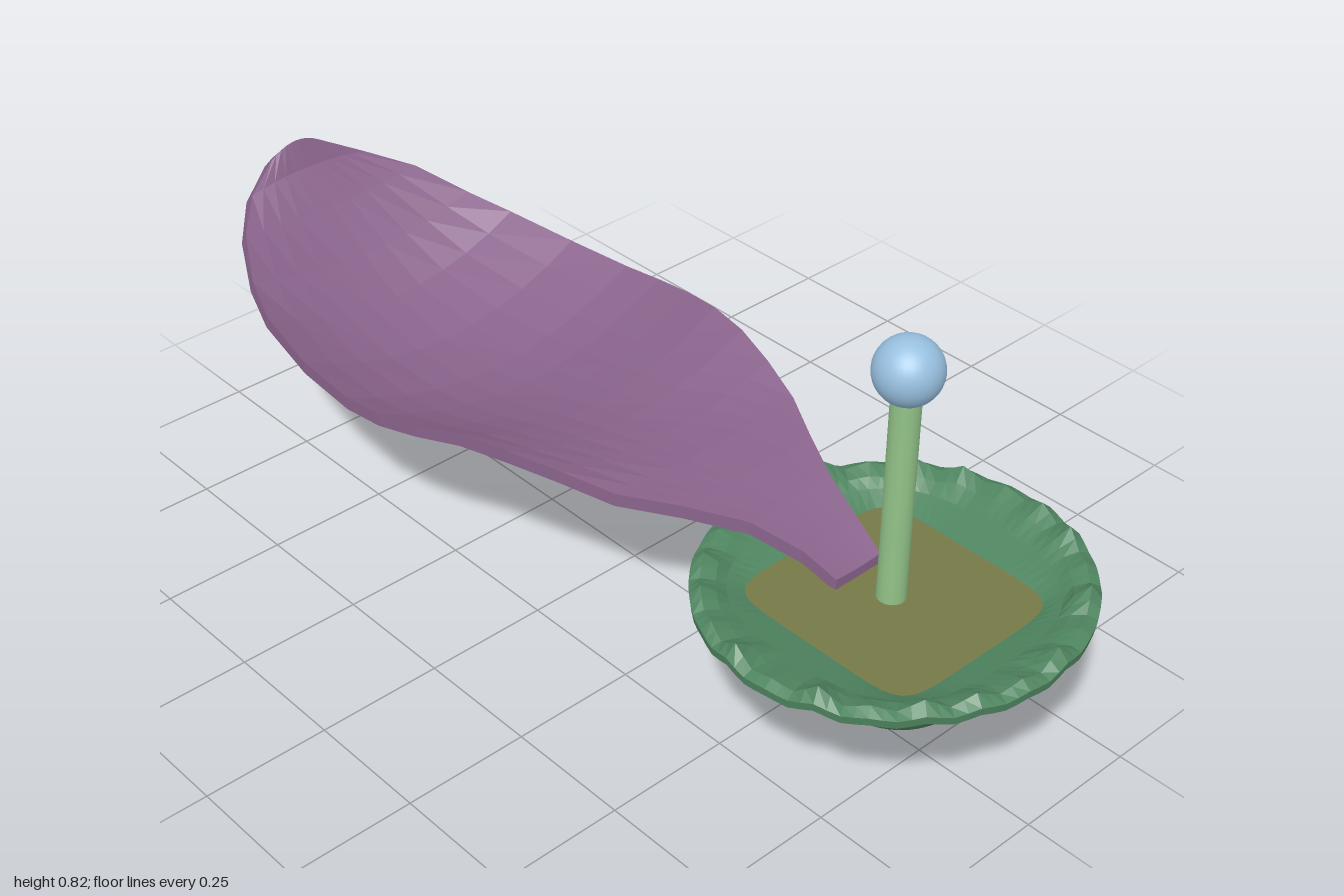
import * as THREE from 'three';

const mat = (name, color) => {
  const m = new THREE.MeshStandardMaterial({ color });
  m.name = name;
  return m;
};

// Skin closed loops of points, row to row, with flat facets.
function loft(rows) {
  const n = rows[0].length, pos = [], index = [];
  rows.forEach(row => row.forEach(p => pos.push(...p)));
  for (let r = 0; r < rows.length - 1; r++) {
    for (let j = 0; j < n; j++) {
      const k = (j + 1) % n, a = r * n + j, b = a + n, c = (r + 1) * n + k, d = r * n + k;
      index.push(a, b, c, a, c, d);
    }
  }
  const g = new THREE.BufferGeometry();
  g.setAttribute('position', new THREE.Float32BufferAttribute(pos, 3));
  g.setIndex(index);
  const flat = g.toNonIndexed();
  flat.computeVertexNormals();
  return flat;
}

const CX = 0.01, CZ = 0.655, SEG = 96;

// Horizontal ring; power 2 is an ellipse, higher powers are squarer.
function ring(y, rx, rz, power, tooth = 0, cx = CX) {
  return Array.from({ length: SEG }, (_, i) => {
    const a = (i / SEG) * Math.PI * 2, c = Math.cos(a), s = Math.sin(a);
    const k = Math.pow(Math.abs(c) ** power + Math.abs(s) ** power, -1 / power);
    // pointed teeth of varying height, one for every four segments
    const height = 0.6 + 0.4 * Math.sin(Math.floor(i / 4) * 2.7);
    const lift = tooth * height * (1 - Math.abs((i % 4) - 2) / 2);
    return [cx + rx * k * c, y + lift, CZ + rz * k * s];
  });
}

export function createModel() {
  const model = new THREE.Group();
  const green = mat('leaf green', 0x4f8560);
  const olive = mat('olive', 0x757a48);
  const purple = mat('petal purple', 0x8a648c);
  const stemGreen = mat('pale green', 0x92c288);
  const blue = mat('soft blue', 0x98c0e0);
  const add = (name, geometry, material) => {
    const mesh = new THREE.Mesh(geometry, material);
    mesh.name = name;
    model.add(mesh);
    return mesh;
  };

  // Cup: root spike, squarish bowl, toothed round rim, inner wall
  add('cup', loft([
    ring(0, 0, 0, 2, 0, 0.025),
    ring(0, 0.017, 0.004, 2, 0, 0.025),
    ring(0.085, 0.05, 0.048, 2, 0, 0.022),
    ring(0.112, 0.075, 0.075, 2.2),
    ring(0.125, 0.135, 0.145, 2.6),
    ring(0.145, 0.165, 0.175, 2.6),
    ring(0.18, 0.2, 0.205, 2.5),
    ring(0.225, 0.24, 0.232, 2.4),
    ring(0.28, 0.29, 0.27, 2.2),
    ring(0.298, 0.34, 0.32, 2),
    ring(0.3, 0.362, 0.343, 2, 0.012),
    ring(0.316, 0.364, 0.345, 2, 0.012),
    ring(0.322, 0.345, 0.325, 2, 0.03),
    ring(0.316, 0.31, 0.295, 2.1, 0.012),
    ring(0.305, 0.265, 0.26, 2.8),
    ring(0.286, 0.197, 0.204, 7),
  ]), green);

  // Soil floor
  add('floor', loft([ring(0.286, 0.197, 0.204, 7), ring(0.286, 0, 0, 2)]), olive);

  // Stem and ball
  add('stem', new THREE.CylinderGeometry(0.027, 0.027, 0.46, 24), stemGreen).position.set(CX, 0.49, 0.65);
  add('ball', new THREE.SphereGeometry(0.062, 32, 20), blue).position.set(CX, 0.755, 0.65);

  // Petal stations: z, left x, right x, centre y, edge y, underside z shift
  const stations = [
    [-0.97, -0.13, 0.0, 0.56, 0.535, -0.03],
    [-0.945, -0.2, 0.085, 0.505, 0.49, -0.025],
    [-0.88, -0.265, 0.17, 0.435, 0.45, -0.018],
    [-0.79, -0.315, 0.235, 0.355, 0.4, -0.012],
    [-0.7, -0.345, 0.28, 0.29, 0.372, -0.008],
    [-0.55, -0.367, 0.32, 0.253, 0.35, 0],
    [-0.4, -0.376, 0.34, 0.252, 0.347, 0],
    [-0.3, -0.376, 0.34, 0.267, 0.36, 0],
    [-0.2, -0.365, 0.325, 0.29, 0.382, 0],
    [-0.1, -0.34, 0.303, 0.316, 0.402, 0],
    [0, -0.315, 0.28, 0.338, 0.407, 0],
    [0.1, -0.275, 0.252, 0.352, 0.396, 0],
    [0.2, -0.23, 0.22, 0.362, 0.377, 0],
    [0.3, -0.155, 0.165, 0.361, 0.367, 0],
    [0.4, -0.09, 0.115, 0.35, 0.355, 0],
    [0.5, -0.058, 0.082, 0.328, 0.332, 0],
    [0.575, -0.05, 0.062, 0.305, 0.308, 0],
  ];
  const COLS = 10, THICK = 0.027;
  const section = ([z, xl, xr, yc, ye, dz], depth = 1) => {
    const top = [], under = [];
    for (let i = 0; i <= COLS; i++) {
      const t = (i / COLS) * 2 - 1;
      const x = THREE.MathUtils.lerp(xl, xr, i / COLS);
      const y = yc + (ye - yc) * t * t;
      top.push([x, y, z]);
      under.unshift([x, y - THICK * depth, z + dz * depth]);
    }
    return [...top, ...under];
  };
  add('petal', loft([
    section(stations[0], 0),
    ...stations.map(s => section(s)),
    section(stations[stations.length - 1], 0),
  ]), purple);

  return model;
}
